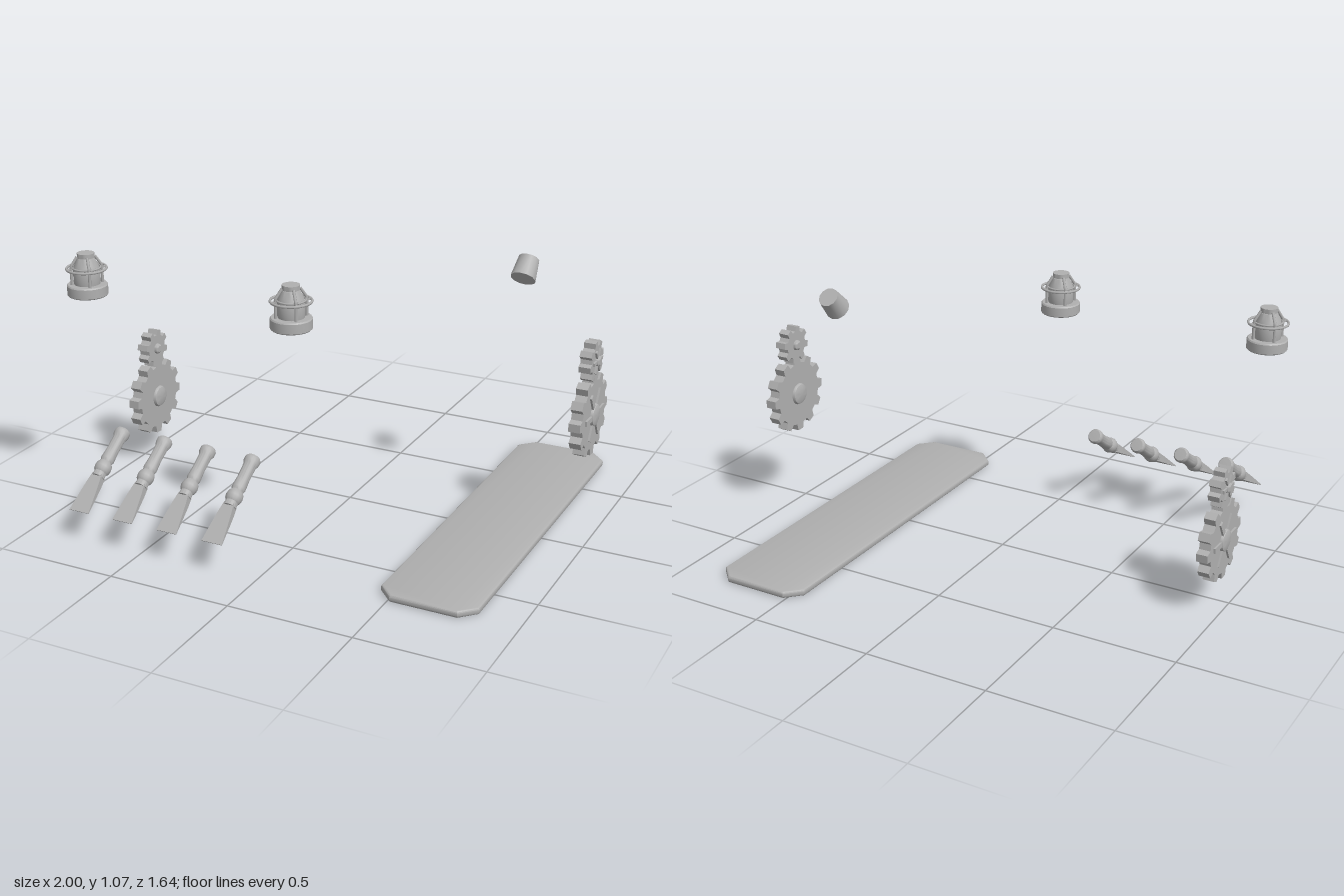
import * as THREE from 'three';
import { toCreasedNormals } from 'three/addons/utils/BufferGeometryUtils.js';

const grey = new THREE.MeshStandardMaterial({ color: 0xb0b0b0 });
grey.name = 'plain grey';

function part(name, geometry, parent, x = 0, y = 0, z = 0) {
  const mesh = new THREE.Mesh(geometry, grey);
  mesh.name = name;
  mesh.position.set(x, y, z);
  parent.add(mesh);
  return mesh;
}

function group(name, parent, x, y, z) {
  const g = new THREE.Group();
  g.name = name;
  g.position.set(x, y, z);
  parent.add(g);
  return g;
}

// Turned solid from [radius, height] pairs, with crisp edges
function turned(points, sides = 24) {
  const g = new THREE.LatheGeometry(points.map(([r, y]) => new THREE.Vector2(r, y)), sides);
  return toCreasedNormals(g, 0.6);
}

// Toothed wheel facing local +z: hub on both sides, ribs on the front
function addGear(parent, name, y, teeth, root, tip, hubR, ribLength, ribWidth, turn) {
  const gear = group(name, parent, 0, y, 0);
  const step = (Math.PI * 2) / teeth;
  const outline = [];
  for (let i = 0; i < teeth; i++) {
    for (const [f, r] of [[-0.32, root], [-0.19, tip], [0.19, tip], [0.32, root]]) {
      const a = (i + f) * step + turn;
      outline.push(new THREE.Vector2(Math.cos(a) * r, Math.sin(a) * r));
    }
  }
  const wheel = new THREE.ExtrudeGeometry(new THREE.Shape(outline), { depth: 0.046, bevelEnabled: false });
  wheel.translate(0, 0, -0.023);
  part('toothedWheel', wheel, gear);
  const h = 0.038;
  const hub = turned([[0, -h], [hubR * 0.6, -h], [hubR * 0.9, -h + 0.005], [hubR, -0.024],
    [hubR, 0.024], [hubR * 0.9, h - 0.005], [hubR * 0.6, h], [0, h]], 20);
  hub.rotateX(Math.PI / 2);
  part('hub', hub, gear);
  for (let i = 0; i < 6; i++) {
    const rib = new THREE.BoxGeometry(ribLength, ribWidth, 0.014);
    rib.translate(ribLength / 2, 0, 0.024);
    part('rib', rib, gear).rotation.z = (i * Math.PI) / 3;
  }
}

function addGearPair(model, name, x, y, z, facing, turn) {
  const pair = group(name, model, x, y, z);
  pair.rotation.y = (facing * Math.PI) / 2;
  addGear(pair, 'largeGear', 0, 12, 0.136, 0.163, 0.046, 0.105, 0.02, turn);
  addGear(pair, 'smallGear', 0.218, 8, 0.06, 0.08, 0.022, 0.05, 0.013, turn + 0.2);
}

function addLantern(model, x) {
  const lantern = group('lantern', model, x, 0.88, 0.455);
  part('base', turned([[0, 0], [0.076, 0], [0.08, 0.004], [0.08, 0.041], [0.076, 0.046], [0, 0.046]]), lantern);
  part('glass', turned([[0.05, 0.04], [0.053, 0.06], [0.053, 0.1], [0.048, 0.118], [0.033, 0.15], [0, 0.15]]), lantern);
  part('cap', turned([[0, 0.152], [0.034, 0.152], [0.034, 0.17], [0, 0.17]]), lantern);
  const ring = new THREE.TorusGeometry(0.078, 0.005, 6, 28);
  ring.rotateX(Math.PI / 2);
  part('guardRing', ring, lantern, 0, 0.108, 0);
  const collar = new THREE.TorusGeometry(0.055, 0.004, 6, 24);
  collar.rotateX(Math.PI / 2);
  part('glassCollar', collar, lantern, 0, 0.112, 0);
  // Bent cage bars running from the base up to the cap
  for (let i = 0; i < 4; i++) {
    const path = new THREE.CurvePath();
    const p = [[0.06, 0.04], [0.06, 0.118], [0.034, 0.157]].map(([r, y]) => new THREE.Vector3(r, y, 0));
    path.add(new THREE.LineCurve3(p[0], p[1]));
    path.add(new THREE.LineCurve3(p[1], p[2]));
    part('cageBar', new THREE.TubeGeometry(path, 12, 0.006, 6), lantern).rotation.y = Math.PI / 4 + (i * Math.PI) / 2;
    const arm = new THREE.BoxGeometry(0.026, 0.006, 0.009);
    arm.translate(0.067, 0.108, 0);
    part('ringArm', arm, lantern).rotation.y = Math.PI / 4 + (i * Math.PI) / 2;
  }
}

// Chisel along local y, pommel at 0, cutting edge at 0.392
function addChisel(model, x) {
  const chisel = group('chisel', model, x, 0.343, 0.487);
  chisel.rotation.x = Math.PI / 2 + 0.58;
  part('handle', turned([[0, 0], [0.026, 0.001], [0.032, 0.01], [0.032, 0.024], [0.026, 0.042],
    [0.025, 0.1], [0.028, 0.145], [0.024, 0.158], [0.031, 0.17], [0.034, 0.185], [0.031, 0.2],
    [0.025, 0.208], [0.026, 0.23], [0, 0.232]], 16), chisel);
  // Blade flares in width and thins to an edge
  const blade = new THREE.BoxGeometry(1, 0.17, 1, 1, 4, 1);
  blade.translate(0, 0.307, 0);
  const pos = blade.attributes.position;
  for (let i = 0; i < pos.count; i++) {
    const t = (pos.getY(i) - 0.222) / 0.17;
    pos.setX(i, pos.getX(i) * (0.042 + 0.045 * Math.pow(t, 0.8)));
    pos.setZ(i, pos.getZ(i) * (0.036 - 0.033 * t));
  }
  part('blade', toCreasedNormals(blade, 0.5), chisel);
}

export function createModel() {
  const model = new THREE.Group();
  model.name = 'workshopParts';

  // Long board with clipped corners and softened edges
  const b = 0.008, w = 0.193 - b, l = 0.77 - b, c = 0.056;
  const outline = [[-w, -l + c], [-w + c, -l], [w - c, -l], [w, -l + c], [w, l - c], [w - c, l], [-w + c, l], [-w, l - c]];
  const board = new THREE.ExtrudeGeometry(new THREE.Shape(outline.map(([x, y]) => new THREE.Vector2(x, y))),
    { depth: 0.012, bevelThickness: b, bevelSize: b, bevelSegments: 3 });
  board.rotateX(-Math.PI / 2);
  part('board', toCreasedNormals(board, 0.6), model, 0.643, b, -0.05);

  // Tilted tapered cup
  const cup = new THREE.CylinderGeometry(0.041, 0.05, 0.088, 12);
  part('taperedCup', toCreasedNormals(cup, 0.6), model, 0.64, 1.009, -0.23).rotation.x = -0.76;

  for (const x of [-0.92, -0.017]) addLantern(model, x);
  for (let i = 0; i < 4; i++) addChisel(model, -0.765 + i * 0.198);

  addGearPair(model, 'leftGears', 0.962, 0.517, -0.09, 1, 0);
  addGearPair(model, 'rightGears', -0.953, 0.276, -0.026, -1, 0.08);
  return model;
}
